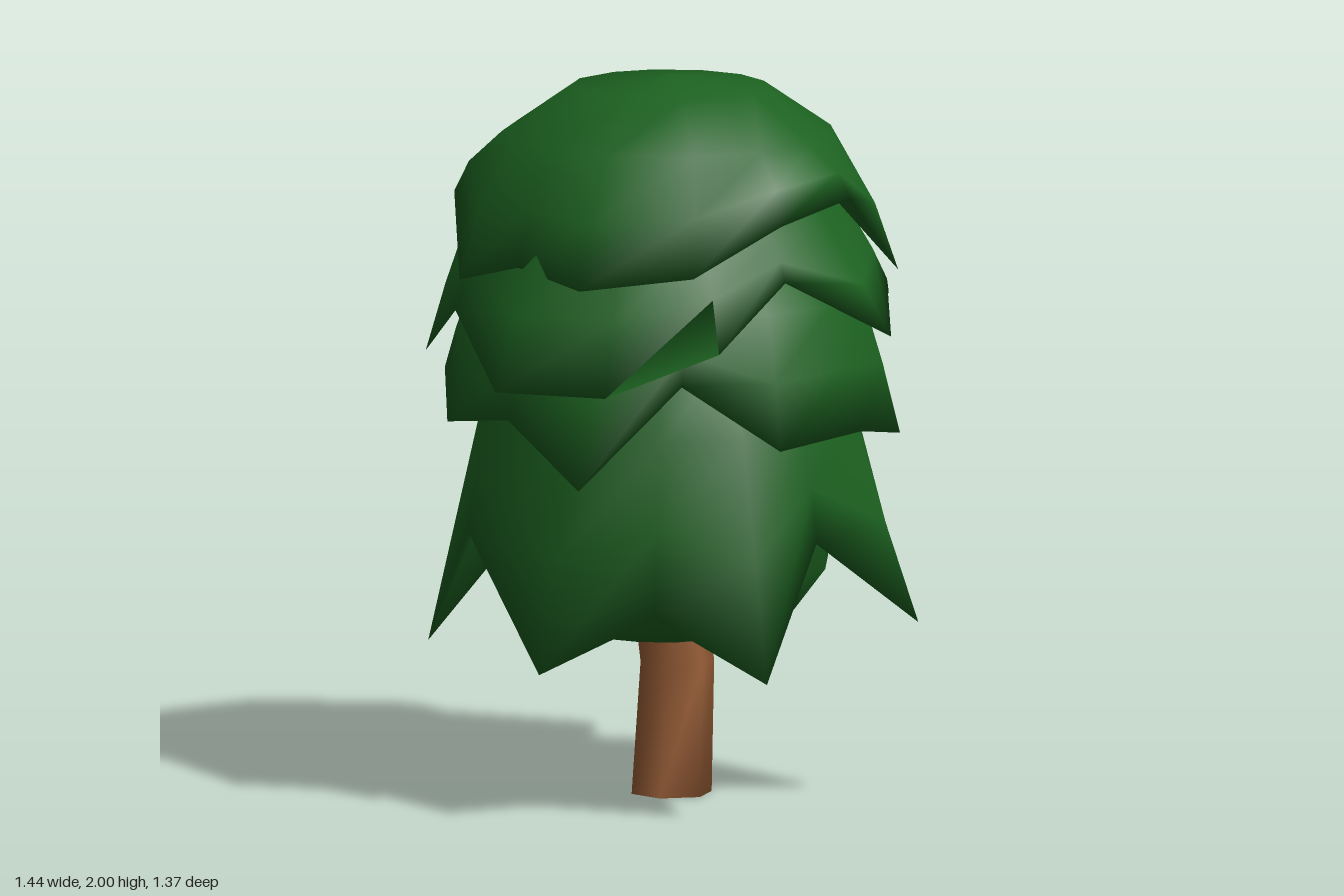
import * as THREE from 'three';

const leafGreen = new THREE.MeshStandardMaterial({ color: 0x1c6120, side: THREE.DoubleSide });
leafGreen.name = 'leafGreen';
const barkBrown = new THREE.MeshStandardMaterial({ color: 0x935a34 });
barkBrown.name = 'barkBrown';

// Joins rings of points (listed bottom to top, counterclockwise from above) into a smooth skin.
function loft(rings, closeBottom) {
  const n = rings[0].length, index = [];
  for (let r = 0; r < rings.length - 1; r++) {
    for (let i = 0; i < n; i++) {
      const a = r * n + i, b = r * n + (i + 1) % n;
      index.push(a, b, b + n, a, b + n, a + n);
    }
  }
  if (closeBottom) for (let i = 1; i < n - 1; i++) index.push(0, i + 1, i);
  const g = new THREE.BufferGeometry();
  g.setAttribute('position', new THREE.Float32BufferAttribute(rings.flat(2), 3));
  g.setIndex(index);
  g.computeVertexNormals();
  return g;
}

// Point at an angle (degrees from +x towards +z).
function polar(deg, r, y, cx = 0, cz = 0) {
  const a = THREE.MathUtils.degToRad(deg);
  return [cx + r * Math.cos(a), y, cz + r * Math.sin(a)];
}

// A ragged skirt of leaves: round shoulder rings [radius, y] about [cx, cz], falling to
// hem points [degrees, radius, y] and turning back up inside.
function leafSkirt(name, [cx, cz], shoulder, hem, bulge) {
  const points = [...hem].sort((a, b) => b[0] - a[0]);
  const [lowR, lowY] = shoulder[shoulder.length - 1];
  const middle = (offset) => points.map(([d, r, y]) =>
    polar(d, (lowR + r) / 2 + offset, (lowY + y) / 2, cx / 2, cz / 2));
  const rings = [middle(-0.07), points.map(([d, r, y]) => polar(d, r, y)), middle(bulge)];
  for (const [r, y] of [...shoulder].reverse()) rings.push(points.map(([d]) => polar(d, r, y, cx, cz)));
  const mesh = new THREE.Mesh(loft(rings, false), leafGreen);
  mesh.name = name;
  return mesh;
}

export function createModel() {
  const tree = new THREE.Group();
  tree.name = 'tree';

  // Leaning six-sided trunk with a bend just under the leaves
  const trunkRings = [[0.005, 0, 0.035, 0.113], [0.055, 0.36, 0.005, 0.104], [0.0, 0.62, 0.0, 0.09]]
    .map(([x, y, z, r]) => Array.from({ length: 6 }, (_, i) => polar(90 - i * 60, r, y, x, z)));
  const trunk = new THREE.Mesh(loft(trunkRings, true), barkBrown);
  trunk.name = 'trunk';
  tree.add(trunk);

  // Round body of leaves under the skirts
  const profile = [[0, 0.44], [0.2, 0.445], [0.37, 0.51], [0.47, 0.64], [0.49, 0.85], [0.5, 1.15], [0.48, 1.45], [0.4, 1.68], [0, 1.85]];
  const core = new THREE.Mesh(
    new THREE.LatheGeometry(profile.map(([r, y]) => new THREE.Vector2(r, y)), 12), leafGreen);
  core.name = 'leafCore';
  tree.add(core);

  // Rounded crown
  tree.add(leafSkirt('crown', [0, 0.03], [[0.001, 2], [0.27, 1.97], [0.46, 1.84]], [
    [0, 0.57, 1.65], [28, 0.6, 1.52], [53, 0.66, 1.47], [75, 0.61, 1.70], [100, 0.6, 1.65],
    [125, 0.61, 1.52], [155, 0.61, 1.48], [178, 0.56, 1.52], [201, 0.6, 1.46], [224, 0.57, 1.67],
    [248, 0.58, 1.62], [279, 0.55, 1.6], [303, 0.62, 1.69], [333, 0.68, 1.52],
  ], 0.025));

  // Upper skirt
  tree.add(leafSkirt('upperSkirt', [0, 0], [[0.42, 1.76], [0.53, 1.6]], [
    [0, 0.72, 1.2], [22, 0.67, 1.35], [45, 0.62, 1.43], [72, 0.72, 1.32], [98, 0.59, 1.49],
    [120, 0.69, 1.32], [146, 0.7, 1.2], [172, 0.73, 1.2], [204, 0.6, 1.37], [227, 0.65, 1.22],
    [250, 0.59, 1.38], [281, 0.7, 1.2], [307, 0.67, 1.32], [335, 0.59, 1.53],
  ], 0.005));

  // Middle skirt
  tree.add(leafSkirt('middleSkirt', [0, 0.02], [[0.42, 1.54], [0.54, 1.4]], [
    [0, 0.58, 1.17], [27, 0.61, 1.22], [50, 0.66, 1.01], [77, 0.66, 1.06], [102, 0.63, 1.03],
    [128, 0.61, 1.22], [152, 0.71, 0.94], [178, 0.6, 1.1], [205, 0.62, 1.06], [230, 0.6, 1.17],
    [255, 0.58, 1.06], [285, 0.57, 1.06], [314, 0.62, 0.95], [336, 0.63, 1.19],
  ], 0.005));

  // Lower skirt with long pointed tips
  tree.add(leafSkirt('lowerSkirt', [-0.03, 0.05], [[0.42, 1.28], [0.53, 1.06]], [
    [13, 0.56, 0.77], [33, 0.57, 0.74], [58, 0.73, 0.5], [86, 0.58, 0.75], [109.5, 0.72, 0.4],
    [135, 0.58, 0.57], [162, 0.7, 0.42], [205, 0.56, 0.75], [240, 0.67, 0.39],
    [275, 0.51, 0.76], [312, 0.68, 0.53], [321, 0.57, 0.85], [342, 0.69, 0.39],
  ], 0));

  return tree;
}
